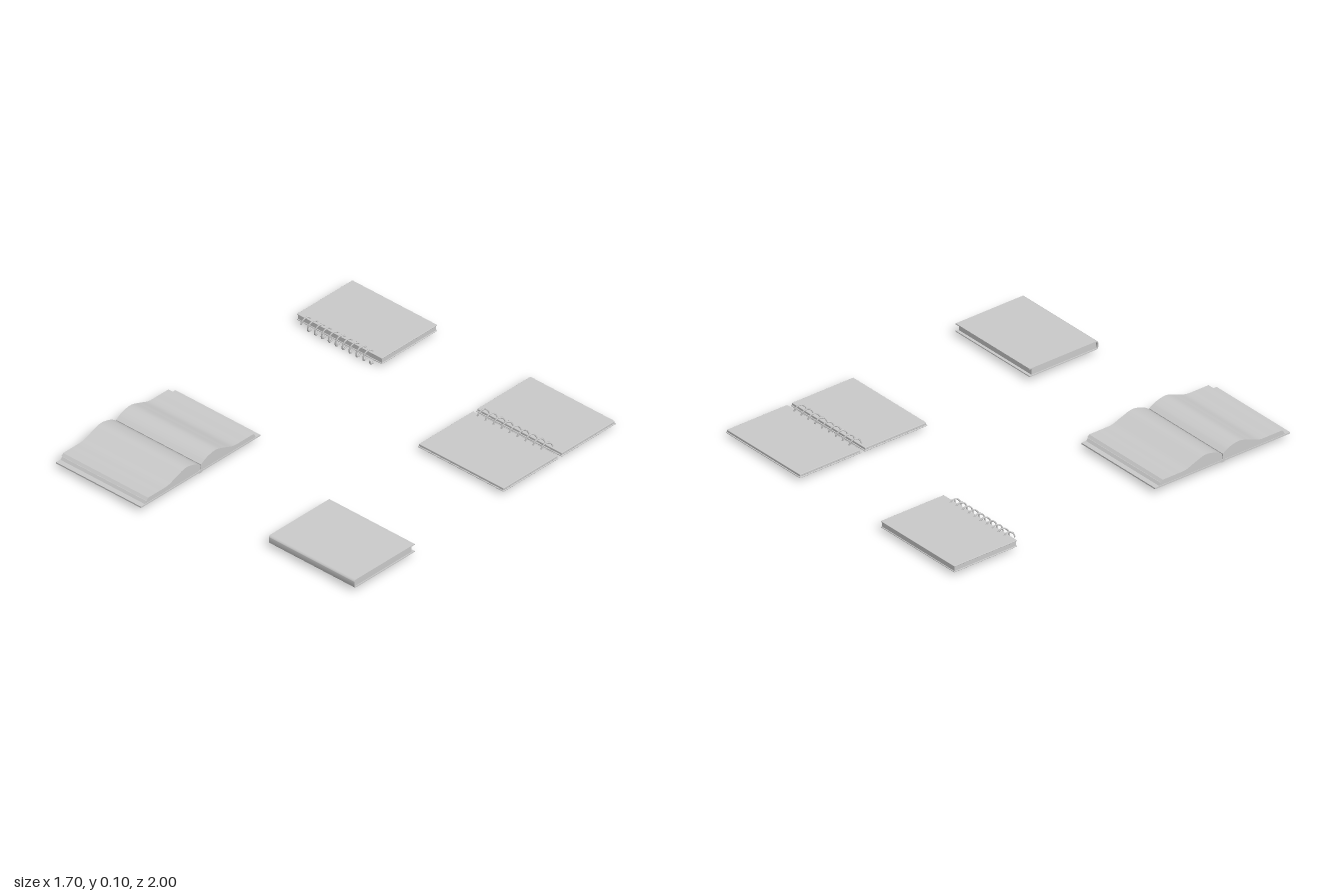
import * as THREE from 'three';
import { toCreasedNormals } from 'three/addons/utils/BufferGeometryUtils.js';
import { RoundedBoxGeometry } from 'three/addons/geometries/RoundedBoxGeometry.js';

const grey = new THREE.MeshStandardMaterial({ color: 0xcccccc });

function add(parent, name, geometry) {
  const mesh = new THREE.Mesh(geometry, grey);
  mesh.name = name;
  parent.add(mesh);
  return mesh;
}

// Box given by its limits on each axis
function slab(parent, name, [x0, x1], [y0, y1], [z0, z1], r = 0) {
  const size = [x1 - x0, y1 - y0, z1 - z0];
  const geo = r ? new RoundedBoxGeometry(...size, 2, r) : new THREE.BoxGeometry(...size);
  const mesh = add(parent, name, geo);
  mesh.position.set((x0 + x1) / 2, (y0 + y1) / 2, (z0 + z1) / 2);
  return mesh;
}

// Profile drawn in (z, y), extruded along x from x0 to x1
function extrudeX(parent, name, shape, [x0, x1]) {
  const geo = new THREE.ExtrudeGeometry(shape, { depth: x1 - x0, bevelEnabled: false, curveSegments: 10 });
  geo.rotateY(-Math.PI / 2).translate(x1, 0, 0);
  return add(parent, name, toCreasedNormals(geo, 0.6));
}

// Wire helix running along x
function spiral(parent, x0, x1, turns, y, z) {
  const pts = [];
  const steps = turns * 14;
  for (let i = 0; i <= steps; i++) {
    const a = (i / steps) * turns * Math.PI * 2;
    pts.push(new THREE.Vector3(x0 + ((x1 - x0) * i) / steps, y + 0.031 * Math.sin(a), z + 0.027 * Math.cos(a)));
  }
  const curve = new THREE.CatmullRomCurve3(pts);
  add(parent, 'spiralBinding', new THREE.TubeGeometry(curve, steps * 2, 0.004, 6, false));
}

function group(root, name) {
  const g = new THREE.Group();
  g.name = name;
  root.add(g);
  return g;
}

// Closed notebook with a wire spiral along its front edge
function closedSpiralNotebook(root) {
  const g = group(root, 'closedSpiralNotebook');
  const x = [-0.845, -0.31], z = [-0.995, -0.62];
  slab(g, 'backCover', x, [0.02, 0.025], z, 0.002);
  slab(g, 'pages', [x[0] + 0.004, x[1] - 0.004], [0.025, 0.049], [z[0] + 0.004, z[1] - 0.004]);
  slab(g, 'frontCover', x, [0.049, 0.054], z, 0.002);
  spiral(g, -0.79, -0.355, 10, 0.035, -0.616);
}

// Notebook lying open, two flat halves joined by the spiral
function openSpiralNotebook(root) {
  const g = group(root, 'openSpiralNotebook');
  const x = [0.27, 0.81];
  for (const z of [[-1, -0.633], [-0.613, -0.24]]) {
    slab(g, 'cover', x, [0.02, 0.025], z, 0.002);
    slab(g, 'pages', [x[0] + 0.004, x[1] - 0.004], [0.025, 0.037], [z[0] + 0.004, z[1] - 0.004], 0.002);
  }
  spiral(g, 0.315, 0.765, 9, 0.035, -0.622);
}

// Closed bound book, spine towards the front
function closedBook(root) {
  const g = group(root, 'closedBook');
  const x = [0.31, 0.848], back = 0.4, front = 0.808, y0 = 0.024, y1 = 0.068, t = 0.005;
  const s = new THREE.Shape();
  s.moveTo(back, y0);
  s.lineTo(front - 0.012, y0);
  s.quadraticCurveTo(front, y0, front, y0 + 0.012);
  s.lineTo(front, y1 - 0.012);
  s.quadraticCurveTo(front, y1, front - 0.012, y1);
  s.lineTo(back, y1);
  s.lineTo(back, y1 - t);
  s.lineTo(front - 0.013, y1 - t);
  s.quadraticCurveTo(front - t, y1 - t, front - t, y1 - 0.013);
  s.lineTo(front - t, y0 + 0.013);
  s.quadraticCurveTo(front - t, y0 + t, front - 0.013, y0 + t);
  s.lineTo(back, y0 + t);
  extrudeX(g, 'wrapCover', s, x);
  slab(g, 'pages', [x[0] + 0.006, x[1] - 0.006], [y0 + t, y1 - t], [back + 0.015, front - 0.008]);
}

// Book lying open, its pages arching up on both sides of the spine
function openBook(root) {
  const g = group(root, 'openBook');
  const x = [-0.85, -0.315], spineZ = 0.597;
  // Page height against distance from the spine
  const arch = new THREE.CatmullRomCurve3(
    [[0.002, 0.066], [0.035, 0.086], [0.1, 0.1], [0.16, 0.083], [0.22, 0.062], [0.28, 0.06], [0.355, 0.06]]
      .map(([d, h]) => new THREE.Vector3(d, h, 0))
  ).getPoints(36);
  for (const side of [-1, 1]) {
    const z = (d) => spineZ + side * d;
    const top = arch.map((p) => new THREE.Vector2(z(p.x), p.y));
    const under = arch.map((p) => new THREE.Vector2(z(p.x), p.y - 0.012));
    const block = [new THREE.Vector2(z(0.002), 0.033), ...under,
      new THREE.Vector2(z(0.366), 0.046), new THREE.Vector2(z(0.375), 0.033)];
    const sheet = [...top, new THREE.Vector2(z(0.366), 0.048), ...under.reverse()];
    extrudeX(g, 'pageBlock', new THREE.Shape(block), [x[0] + 0.003, x[1] - 0.003]);
    extrudeX(g, 'topPages', new THREE.Shape(sheet), x);
    slab(g, 'cover', x, [0.026, 0.033], side < 0 ? [0.195, spineZ] : [spineZ, 1]);
  }
  // Raised spine strip beneath the covers
  const spine = add(g, 'spine', new THREE.CylinderGeometry(0.016, 0.016, x[1] - x[0], 20));
  spine.rotation.z = Math.PI / 2;
  spine.scale.x = 0.5;
  spine.position.set((x[0] + x[1]) / 2, 0.029, spineZ);
}

export function createModel() {
  const root = new THREE.Group();
  root.name = 'notebooks';
  closedSpiralNotebook(root);
  openSpiralNotebook(root);
  closedBook(root);
  openBook(root);
  return root;
}
